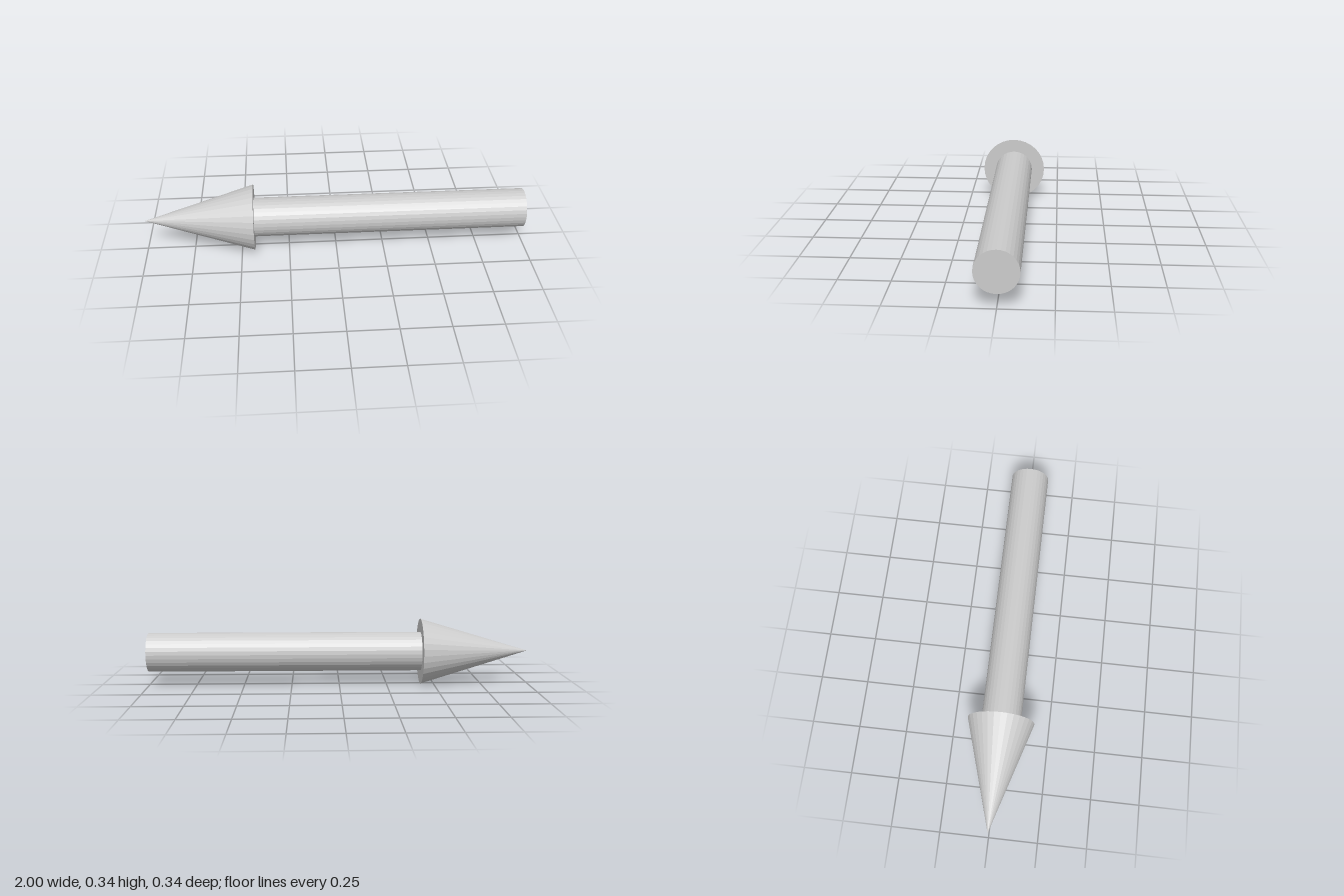
import * as THREE from 'three';

const SIDES = 32;
const HEAD_RADIUS = 0.172;
const SHAFT_RADIUS = 0.102;
const HEAD_BASE_X = -0.43;

export function createModel() {
  const model = new THREE.Group();
  model.name = 'arrow';
  const material = new THREE.MeshStandardMaterial({ color: 0xcccccc, flatShading: true });

  // Solid of revolution lying along x, from its narrow (-x) to its other end
  function addPart(name, startRadius, endRadius, startX, endX) {
    const geometry = new THREE.CylinderGeometry(startRadius, endRadius, endX - startX, SIDES);
    geometry.rotateZ(Math.PI / 2);
    const mesh = new THREE.Mesh(geometry, material);
    mesh.name = name;
    mesh.position.set((startX + endX) / 2, HEAD_RADIUS, 0);
    model.add(mesh);
  }

  // Pointed head with a closed base
  addPart('arrowHead', 0, HEAD_RADIUS, -1, HEAD_BASE_X);
  // Straight shaft behind the head
  addPart('shaft', SHAFT_RADIUS, SHAFT_RADIUS, HEAD_BASE_X, 1);

  return model;
}
